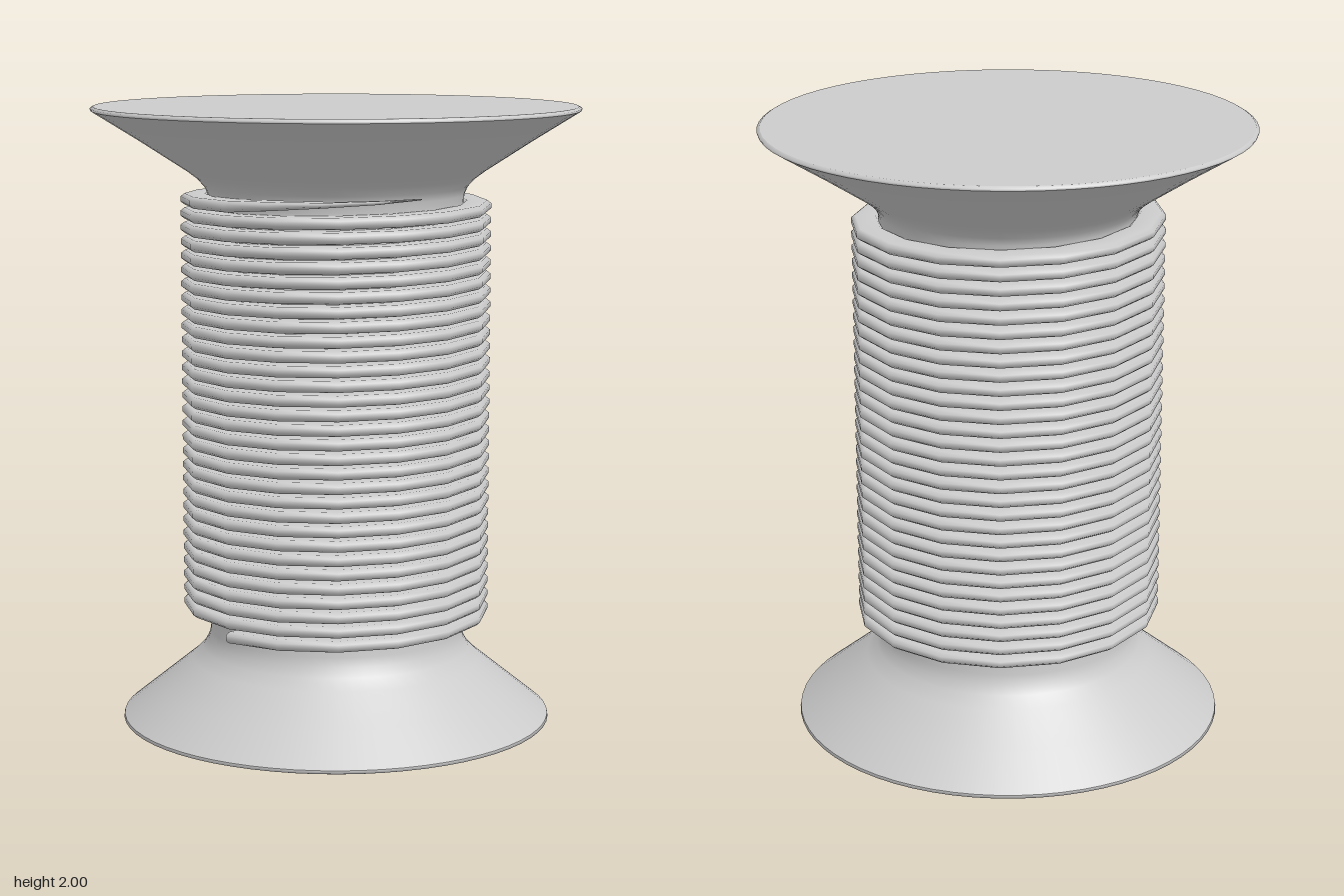
import * as THREE from 'three';

const material = () => new THREE.MeshStandardMaterial({ color: 0xcccccc, side: THREE.DoubleSide });

// Revolved part; repeated points keep an edge sharp
function lathe(name, profile) {
  const points = profile.map(([r, y]) => new THREE.Vector2(r, y));
  const mesh = new THREE.Mesh(new THREE.LatheGeometry(points, 64), material());
  mesh.name = name;
  return mesh;
}

// Sweeps a flattened octagon through a list of sections
function sweep(sections) {
  const outline = [
    [0.045, -0.008], [0.045, 0.008], [0.032, 0.018], [-0.032, 0.018],
    [-0.045, 0.008], [-0.045, -0.008], [-0.032, -0.018], [0.032, -0.018],
  ];
  const n = outline.length;
  const positions = [];
  const index = [];
  for (const { x, y, z, angle, w, h } of sections) {
    for (const [o, u] of outline) {
      positions.push(x - Math.cos(angle) * o * w, y + u * h, z + Math.sin(angle) * o * w);
    }
  }
  for (let i = 0; i < sections.length - 1; i++) {
    for (let j = 0; j < n; j++) {
      const a = i * n + j;
      const b = i * n + ((j + 1) % n);
      index.push(a, a + n, b, b, a + n, b + n);
    }
  }
  // End caps
  const last = (sections.length - 1) * n;
  for (let j = 1; j < n - 1; j++) {
    index.push(0, j, j + 1, last, last + j + 1, last + j);
  }
  const geometry = new THREE.BufferGeometry();
  geometry.setAttribute('position', new THREE.Float32BufferAttribute(positions, 3));
  geometry.setIndex(index);
  geometry.computeVertexNormals();
  return geometry;
}

export function createModel() {
  const group = new THREE.Group();
  group.name = 'threadSpool';

  // Lower flange
  group.add(lathe('lowerFlange', [
    [0, 0], [0.33, 0], [0.685, 0.008], [0.685, 0.008], [0.697, 0.012], [0.695, 0.022],
    [0.695, 0.022], [0.58, 0.115], [0.47, 0.204], [0.435, 0.24], [0.418, 0.27],
    [0.41, 0.3], [0.408, 0.34],
  ]));

  // Core under the winding
  group.add(lathe('core', [[0.408, 0.34], [0.408, 1.69]]));

  // Upper flange
  group.add(lathe('upperFlange', [
    [0.408, 1.69], [0.41, 1.72], [0.42, 1.745], [0.445, 1.772], [0.48, 1.798],
    [0.63, 1.895], [0.778, 1.987], [0.778, 1.987], [0.78, 1.994], [0.77, 2],
    [0.77, 2], [0, 2],
  ]));

  // Thread: thirty 16-sided turns
  const turns = 30, sides = 16, radius = 0.452;
  const sections = [];
  for (let i = 0; i <= turns * sides; i++) {
    const angle = (i / sides) * Math.PI * 2;
    sections.push({
      x: -radius * Math.cos(angle),
      y: 0.349 + (1.36 * i) / (turns * sides),
      z: radius * Math.sin(angle),
      angle, w: 1, h: 1,
    });
  }
  // Loose tapering tail
  const tail = [
    [-0.457, 1.722, 0.2, 1, 0.75], [-0.46, 1.738, 0.42, 0.75, 0.45],
    [-0.461, 1.757, 0.62, 0.42, 0.3], [-0.444, 1.775, 0.768, 0.2, 0.12],
  ];
  for (const [x, y, z, w, h] of tail) sections.push({ x, y, z, angle: 0, w, h });

  const thread = new THREE.Mesh(sweep(sections), material());
  thread.name = 'thread';
  group.add(thread);
  return group;
}
